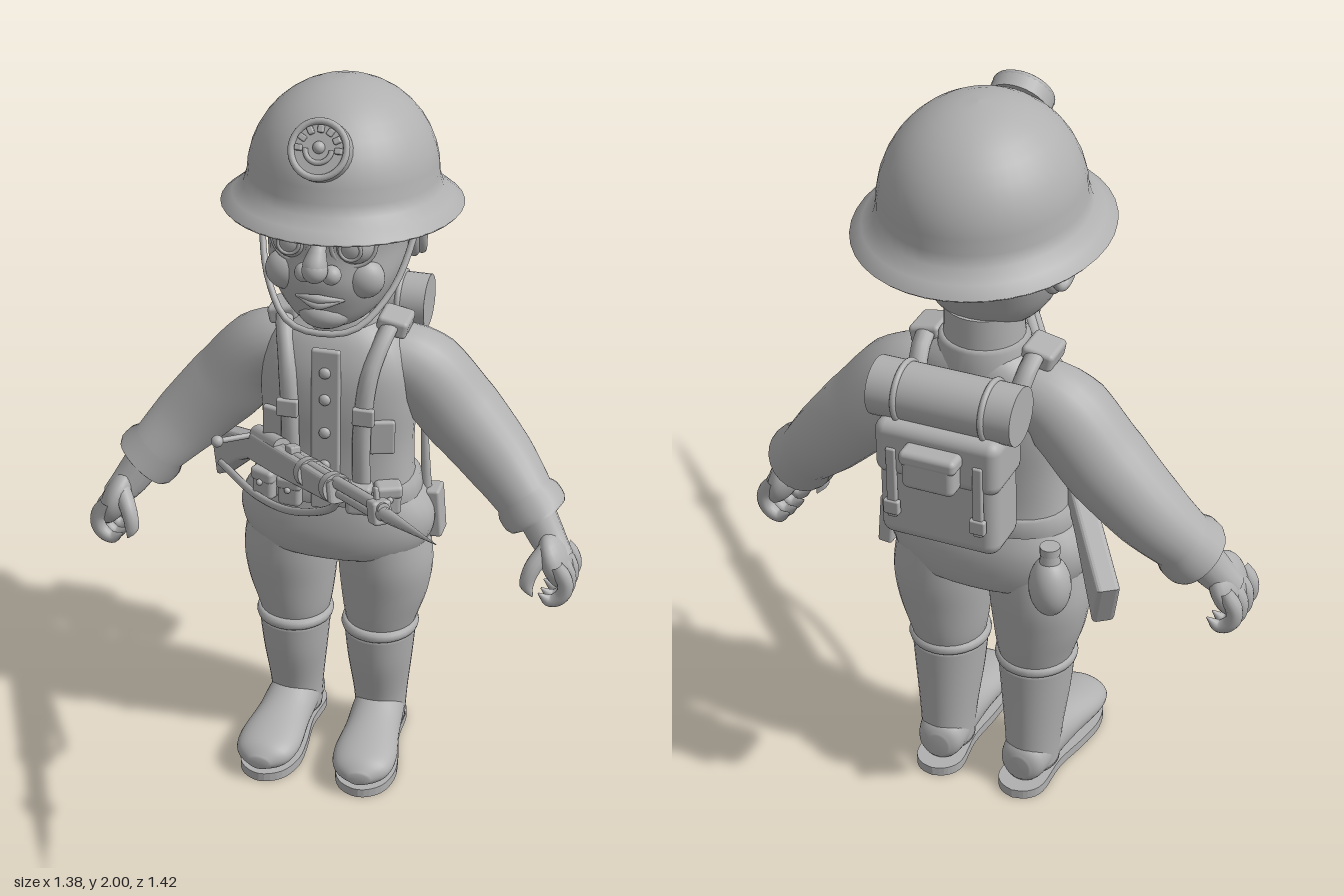
import * as THREE from 'three';
import { RoundedBoxGeometry } from 'three/addons/geometries/RoundedBoxGeometry.js';

const clay = new THREE.MeshStandardMaterial({ color: 0xb0b0b0 });
clay.name = 'plain grey';

const V = (p) => new THREE.Vector3(...p);

function add(parent, name, geo, pos = [0, 0, 0], rot = [0, 0, 0], scale = [1, 1, 1]) {
  const m = new THREE.Mesh(geo, clay);
  m.name = name;
  m.position.set(...pos);
  m.rotation.set(...rot);
  m.scale.set(...scale);
  parent.add(m);
  return m;
}

// Closed body through rounded sections [y, centreX, centreZ, radiusX, radiusZ]
function loft(rings, power = 2, n = 32) {
  const pos = [], idx = [];
  const curve = (c) => Math.sign(c) * Math.pow(Math.abs(c), 2 / power);
  for (const [y, cx, cz, rx, rz] of rings)
    for (let i = 0; i < n; i++) {
      const a = (i / n) * Math.PI * 2;
      pos.push(cx + rx * curve(Math.cos(a)), y, cz + rz * curve(Math.sin(a)));
    }
  const last = rings.length - 1, c0 = rings.length * n;
  for (const r of [rings[0], rings[last]]) pos.push(r[1], r[0], r[2]);
  for (let i = 0; i < n; i++) {
    const j = (i + 1) % n;
    for (let k = 0; k < last; k++) {
      const b = k * n, t = b + n;
      idx.push(b + i, t + i, b + j, b + j, t + i, t + j);
    }
    idx.push(c0, i, j, c0 + 1, last * n + j, last * n + i);
  }
  const g = new THREE.BufferGeometry();
  g.setAttribute('position', new THREE.Float32BufferAttribute(pos, 3));
  g.setIndex(idx);
  g.computeVertexNormals();
  return g;
}

// Smooth rings interpolated through a few key sections
function smoothRings(keys, steps = 5) {
  const out = [], n = (keys.length - 1) * steps;
  for (let i = 0; i <= n; i++) {
    const k = Math.min(Math.floor(i / steps), keys.length - 2), t = i / steps - k;
    const at = (j) => keys[Math.max(0, Math.min(keys.length - 1, j))];
    out.push(keys[k].map((_, c) => {
      const [a, b, d, e] = [at(k - 1)[c], at(k)[c], at(k + 1)[c], at(k + 2)[c]];
      return b + 0.5 * t * (d - a + t * (2 * a - 5 * b + 4 * d - e + t * (3 * (b - d) + e - a)));
    }));
  }
  return out;
}

// Tube with radii spread evenly along it; widen flattens it into a band across x
function tube(points, radii, sides = 12, widen = 1) {
  const curve = new THREE.CatmullRomCurve3(points.map(V));
  const seg = 28, g = new THREE.TubeGeometry(curve, seg, 1, sides);
  const p = g.attributes.position, nrm = g.attributes.normal;
  for (let i = 0; i <= seg; i++) {
    const c = curve.getPointAt(i / seg), f = (i / seg) * (radii.length - 1);
    const k = Math.min(Math.floor(f), radii.length - 2);
    const r = radii.length < 2 ? radii[0] : THREE.MathUtils.lerp(radii[k], radii[k + 1], f - k);
    for (let j = 0; j <= sides; j++) {
      const v = i * (sides + 1) + j;
      p.setXYZ(v, c.x + nrm.getX(v) * r * widen, c.y + nrm.getY(v) * r, c.z + nrm.getZ(v) * r);
    }
  }
  return g;
}

const box = (x, y, z, r = 0.01) => new RoundedBoxGeometry(x, y, z, 3, r);
const ball = (r) => new THREE.SphereGeometry(r, 24, 16);
const rod = (r1, r2, h, n = 20) => new THREE.CylinderGeometry(r1, r2, h, n);
const ring = (R, r, arc = Math.PI * 2) => new THREE.TorusGeometry(R, r, 10, 32, arc);

function helmet(root) {
  const g = new THREE.Group();
  g.name = 'helmet';
  g.position.set(0, 1.667, -0.35);
  g.rotation.x = -0.07;
  root.add(g);
  const pts = [];
  for (let i = 0; i <= 10; i++) pts.push([0.235 * Math.sin(i * Math.PI / 20), 0.08 + 0.235 * Math.cos(i * Math.PI / 20)]);
  pts.push([0.26, 0.035], [0.312, -0.006], [0.319, 0.002], [0.29, 0.025], [0.262, 0.05]);
  for (let i = 10; i >= 0; i--) pts.push([0.252 * Math.sin(i * Math.PI / 20), 0.08 + 0.254 * Math.cos(i * Math.PI / 20)]);
  add(g, 'helmetShell', new THREE.LatheGeometry(pts.map(([x, y]) => new THREE.Vector2(x, y)), 40), [0, 0, 0], [0, 0, 0], [1, 1, 1.09]);
  // Round badge with a plain wreath
  const b = new THREE.Group();
  b.name = 'helmetBadge';
  b.position.set(0, 1.9, -0.115);
  b.rotation.x = -0.51;
  root.add(b);
  add(b, 'badgeDisc', rod(0.08, 0.08, 0.04, 28), [0, 0, -0.01], [Math.PI / 2, 0, 0]);
  add(b, 'badgeRim', ring(0.072, 0.009), [0, 0, 0.01]);
  add(b, 'badgeArc', ring(0.034, 0.007, Math.PI), [0, 0, 0.014], [0, 0, Math.PI]);
  add(b, 'badgeBoss', ball(0.016), [0, 0.005, 0.012]);
  for (let i = 0; i < 7; i++) {
    const a = i * Math.PI / 6;
    add(b, 'badgeRay', box(0.02, 0.016, 0.02, 0.004), [0.052 * Math.cos(a), 0.052 * Math.sin(a), 0.012], [0, 0, a]);
  }
}

function head(root) {
  add(root, 'head', loft(smoothRings([
    [1.375, 0, -0.25, 0.05, 0.07], [1.4, 0, -0.265, 0.1, 0.12], [1.45, 0, -0.285, 0.145, 0.16], [1.52, 0, -0.3, 0.175, 0.19],
    [1.6, 0, -0.325, 0.187, 0.207], [1.7, 0, -0.335, 0.2, 0.215], [1.8, 0, -0.34, 0.17, 0.18]]), 2.2));
  add(root, 'neck', rod(0.1, 0.105, 0.16, 28), [0, 1.37, -0.355]);
  add(root, 'collar', loft([[1.28, 0, -0.355, 0.115, 0.11], [1.29, 0, -0.355, 0.122, 0.118],
    [1.36, 0, -0.355, 0.116, 0.113], [1.37, 0, -0.355, 0.105, 0.102]]));
  add(root, 'nose', tube([[0, 1.655, -0.13], [0, 1.62, -0.088], [0, 1.59, -0.068], [0, 1.57, -0.085]], [0.018, 0.022, 0.034, 0.02]));
  add(root, 'noseTip', ball(0.034), [0, 1.588, -0.069]);
  add(root, 'chin', ball(0.06), [0, 1.425, -0.175], [0, 0, 0], [1.2, 0.75, 1]);
  for (const y of [1.493, 1.475])
    add(root, 'lip', tube([[-0.065, 1.485, -0.125], [0, y, -0.1], [0.065, 1.485, -0.125]], [0.003, 0.012, 0.003]));
  for (const s of [1, -1]) {
    add(root, 'nostril', ball(0.026), [s * 0.036, 1.565, -0.1]);
    add(root, 'eyeball', ball(0.055), [s * 0.082, 1.635, -0.16]);
    add(root, 'iris', ring(0.028, 0.005), [s * 0.082, 1.635, -0.112]);
    add(root, 'eyeRim', ring(0.056, 0.008), [s * 0.083, 1.635, -0.142], [0, s * 0.3, 0]);
    add(root, 'eyebrow', tube([[s * 0.025, 1.68, -0.115], [s * 0.085, 1.705, -0.125], [s * 0.15, 1.685, -0.175]], [0.008, 0.016, 0.006]));
    add(root, 'cheek', ball(0.055), [s * 0.105, 1.535, -0.17], [0, 0, 0], [1, 1, 0.8]);
    add(root, 'ear', ball(0.08), [s * 0.19, 1.605, -0.36], [0.1, s * 0.3, 0], [0.34, 1.05, 0.62]);
    add(root, 'earRim', ring(0.055, 0.012), [s * 0.212, 1.61, -0.365], [0, Math.PI / 2 + s * 0.3, 0], [0.7, 1.15, 1]);
  }
  add(root, 'chinStrap', tube([[0.212, 1.69, -0.345], [0.2, 1.58, -0.28], [0.165, 1.48, -0.21], [0.09, 1.4, -0.135], [0, 1.385, -0.118],
    [-0.09, 1.4, -0.135], [-0.165, 1.48, -0.21], [-0.2, 1.58, -0.28], [-0.212, 1.69, -0.345]], [0.009]));
}

function jacket(root) {
  add(root, 'jacketBody', loft(smoothRings([
    [0.8, 0, -0.32, 0.225, 0.14], [0.9, 0, -0.32, 0.212, 0.135], [1.0, 0, -0.325, 0.208, 0.137], [1.12, 0, -0.33, 0.215, 0.145],
    [1.22, 0, -0.335, 0.21, 0.14], [1.3, 0, -0.345, 0.17, 0.12], [1.35, 0, -0.355, 0.1, 0.09]]), 2.5));
  add(root, 'jacketSkirt', loft(smoothRings([
    [0.65, 0, -0.325, 0.17, 0.11], [0.662, 0, -0.325, 0.235, 0.143], [0.72, 0, -0.325, 0.27, 0.157],
    [0.79, 0, -0.325, 0.268, 0.155], [0.87, 0, -0.32, 0.215, 0.138]]), 2.3));
  add(root, 'belt', loft([[0.835, 0, -0.32, 0.228, 0.143], [0.838, 0, -0.32, 0.237, 0.152],
    [0.882, 0, -0.32, 0.23, 0.15], [0.885, 0, -0.32, 0.22, 0.14]], 2.4));
  add(root, 'beltBuckle', box(0.07, 0.055, 0.02, 0.006), [0, 0.86, -0.168]);
  add(root, 'frontPlacket', box(0.08, 0.43, 0.02, 0.008), [0, 1.09, -0.186]);
  for (const y of [1.24, 1.16, 1.06, 0.96]) add(root, 'button', ball(0.016), [0, y, -0.172], [0, 0, 0], [1, 1, 0.7]);
  for (const s of [1, -1]) {
    add(root, 'shoulderStrap', tube([[s * 0.1, 0.88, -0.188], [s * 0.1, 1.08, -0.185], [s * 0.115, 1.24, -0.21],
      [s * 0.145, 1.34, -0.3], [s * 0.145, 1.335, -0.41], [s * 0.13, 1.22, -0.49], [s * 0.13, 1.1, -0.5]], [0.011], 12, 2.3));
    add(root, 'strapLoop', box(0.085, 0.05, 0.1, 0.012), [s * 0.15, 1.335, -0.34], [0, 0, -s * 0.2]);
    add(root, 'strapBuckle', box(0.06, 0.05, 0.02, 0.005), [s * 0.105, 1.12, -0.178]);
    add(root, 'chestPocket', box(0.07, 0.1, 0.02, 0.008), [s * 0.15, 1.05, -0.209], [0, s * 0.3, 0]);
    // Ammunition pouches on the belt
    [[0.095, -0.178, 0.1], [0.172, -0.2, 0.4]].forEach(([x, z, a]) => {
      add(root, 'pouch', box(0.068, 0.085, 0.05, 0.014), [s * x, 0.868, z], [0, s * a, 0]);
      add(root, 'pouchFlap', box(0.074, 0.038, 0.058, 0.012), [s * x, 0.897, z], [0, s * a, 0]);
      add(root, 'pouchStud', ball(0.009), [s * (x + a * 0.03), 0.88, z + 0.029]);
    });
  }
}

function arm(root, s) {
  const P = (list) => list.map(([x, y, z]) => [s * x, y, z]);
  add(root, 'sleeve', tube(P([[0.08, 1.23, -0.355], [0.2, 1.205, -0.365], [0.33, 1.07, -0.37], [0.45, 0.94, -0.355], [0.55, 0.83, -0.315]]),
    [0.08, 0.113, 0.113, 0.1, 0.078], 24));
  add(root, 'cuff', tube(P([[0.512, 0.873, -0.334], [0.545, 0.835, -0.32], [0.58, 0.796, -0.304]]),
    [0.06, 0.086, 0.094, 0.095, 0.094, 0.084, 0.03], 24));
  add(root, 'wrist', tube(P([[0.56, 0.82, -0.31], [0.6, 0.76, -0.29], [0.64, 0.71, -0.27]]), [0.055, 0.05, 0.04]));
  add(root, 'palm', ball(1), [s * 0.63, 0.715, -0.265], [0, 0, s * 0.4], [0.04, 0.085, 0.083]);
  for (let k = 0; k < 4; k++) {
    const z = -0.2 - 0.042 * k, d = Math.abs(k - 1.3) * 0.008;
    add(root, 'finger', tube(P([[0.64, 0.73, z], [0.668, 0.68, z], [0.662, 0.63 + d, z], [0.63, 0.607 + d, z], [0.595, 0.625 + d, z]]),
      [0.018, 0.023, 0.022, 0.021, 0.02, 0.016, 0.002]));
  }
  add(root, 'thumb', tube(P([[0.61, 0.76, -0.24], [0.575, 0.71, -0.2], [0.565, 0.665, -0.19], [0.58, 0.625, -0.195]]), [0.025, 0.025, 0.023, 0.02, 0.002]));
}

function leg(root, s) {
  add(root, 'trouserLeg', loft(smoothRings([
    [0.38, s * 0.125, -0.33, 0.09, 0.095], [0.43, s * 0.127, -0.33, 0.105, 0.107], [0.52, s * 0.135, -0.33, 0.125, 0.12],
    [0.62, s * 0.136, -0.33, 0.134, 0.132], [0.75, s * 0.125, -0.33, 0.125, 0.13]])));
  add(root, 'bootShaft', loft(smoothRings([
    [0.05, s * 0.125, -0.35, 0.07, 0.08], [0.15, s * 0.125, -0.345, 0.077, 0.084], [0.28, s * 0.125, -0.33, 0.092, 0.1],
    [0.385, s * 0.125, -0.325, 0.102, 0.107]])));
  add(root, 'bootRim', ring(0.096, 0.014), [s * 0.125, 0.395, -0.325], [Math.PI / 2, 0, 0], [1, 1.05, 1.2]);
  const foot = new THREE.Group();
  foot.name = 'bootFoot';
  foot.position.set(s * 0.125, 0, -0.35);
  foot.rotation.y = s * 0.06;
  root.add(foot);
  add(foot, 'bootUpper', loft(smoothRings([
    [-0.09, 0, -0.07, 0.03, 0.035], [-0.065, 0, -0.08, 0.062, 0.06], [0.03, 0, -0.095, 0.073, 0.075], [0.13, 0, -0.083, 0.078, 0.06],
    [0.24, 0, -0.073, 0.09, 0.05], [0.31, 0, -0.067, 0.076, 0.04], [0.347, 0, -0.06, 0.03, 0.018]])).rotateX(Math.PI / 2));
  const side = [[0.04, -0.115], [0.065, -0.07], [0.062, 0.04], [0.08, 0.15], [0.086, 0.24], [0.06, 0.315]];
  const outline = [[0, -0.13], ...side, [0, 0.347], ...side.map(([x, y]) => [-x, y]).reverse()];
  const shape = new THREE.Shape(new THREE.SplineCurve([...outline, outline[0]].map(([x, z]) => new THREE.Vector2(x, -z))).getPoints(56));
  add(foot, 'sole', new THREE.ExtrudeGeometry(shape, { depth: 0.026, bevelEnabled: false }).rotateX(-Math.PI / 2));
}

function backpack(root) {
  add(root, 'packBody', box(0.32, 0.33, 0.15, 0.035), [0, 1.075, -0.582]);
  add(root, 'packFlap', box(0.332, 0.15, 0.166, 0.03), [0, 1.17, -0.582]);
  add(root, 'packPocket', box(0.14, 0.105, 0.06, 0.018), [0, 1.155, -0.682]);
  add(root, 'pocketFlap', box(0.15, 0.04, 0.064, 0.014), [0, 1.188, -0.682]);
  add(root, 'bedroll', rod(0.075, 0.075, 0.38, 28), [0, 1.29, -0.572], [0, 0, Math.PI / 2]);
  for (const s of [1, -1]) {
    add(root, 'bedrollBand', ring(0.075, 0.008), [s * 0.115, 1.29, -0.572], [0, Math.PI / 2, 0]);
    add(root, 'packStrap', box(0.026, 0.2, 0.016, 0.005), [s * 0.115, 1.08, -0.664]);
    add(root, 'packBuckle', box(0.042, 0.04, 0.018, 0.005), [s * 0.115, 1.01, -0.668]);
  }
  // Canteen at the back, sheath at the other hip
  add(root, 'canteen', ball(1), [-0.225, 0.735, -0.475], [0, 0.5, 0], [0.055, 0.085, 0.062]);
  add(root, 'canteenNeck', rod(0.022, 0.028, 0.05), [-0.225, 0.825, -0.475]);
  add(root, 'canteenCap', rod(0.026, 0.026, 0.022), [-0.225, 0.845, -0.475]);
  add(root, 'sheath', box(0.04, 0.145, 0.07, 0.008), [0.268, 0.755, -0.37], [0, 0, 0.08]);
  add(root, 'sheathHandle', rod(0.01, 0.016, 0.2, 12), [0.235, 0.91, -0.37], [0, 0, 0.05]);
}

function rifle(root) {
  const g = new THREE.Group();
  g.name = 'rifle';
  g.position.set(0, 1.055, 0.016);
  g.lookAt(0.566, 1.338, 0.791);
  root.add(g);
  const along = [Math.PI / 2, 0, 0];
  const stock = new THREE.Shape([[-0.73, -0.03], [-0.72, -0.15], [-0.52, -0.07], [-0.42, -0.045], [-0.2, -0.045],
    [0.24, -0.03], [0.24, 0.012], [-0.36, 0.02], [-0.44, 0]].map(([x, y]) => new THREE.Vector2(x, y)));
  add(g, 'stock', new THREE.ExtrudeGeometry(stock, { depth: 0.036, bevelSize: 0.01, bevelThickness: 0.012, bevelSegments: 3 })
    .translate(0, 0, -0.018).rotateY(-Math.PI / 2));
  add(g, 'barrel', rod(0.016, 0.018, 0.9), [0, 0.012, 0.115], along);
  add(g, 'cleaningRod', rod(0.012, 0.012, 0.32), [0, -0.016, 0.39], along);
  add(g, 'receiver', rod(0.026, 0.026, 0.2), [0, 0.02, -0.28], along);
  for (const z of [0.22, 0.03]) add(g, 'barrelBand', rod(0.04, 0.04, 0.035), [0, -0.006, z], along);
  add(g, 'muzzleFitting', box(0.05, 0.06, 0.05, 0.008), [0, 0, 0.53]);
  add(g, 'frontSight', box(0.012, 0.04, 0.02, 0.004), [0, 0.04, 0.52]);
  add(g, 'rearSight', box(0.03, 0.02, 0.05, 0.004), [0, 0.035, -0.09]);
  add(g, 'bayonet', rod(0.001, 0.018, 0.31, 10), [0, 0, 0.735], along);
  add(g, 'bayonetSocket', rod(0.014, 0.02, 0.05), [0, 0, 0.575], along);
  add(g, 'boltHandle', rod(0.008, 0.008, 0.11), [-0.06, 0.02, -0.38], [0, 0, Math.PI / 2]);
  add(g, 'boltKnob', ball(0.017), [-0.12, 0.02, -0.38]);
  add(g, 'triggerGuard', ring(0.028, 0.006), [0, -0.055, -0.35], [0, Math.PI / 2, 0]);
  add(root, 'rifleSling', tube([[0.13, 1.09, 0.17], [0.1, 1.01, 0.12], [-0.03, 0.915, 0.01], [-0.18, 0.84, -0.16], [-0.38, 0.76, -0.45]], [0.011]));
}

export function createModel() {
  const root = new THREE.Group();
  root.name = 'soldierFigure';
  helmet(root);
  head(root);
  jacket(root);
  for (const s of [1, -1]) {
    arm(root, s);
    leg(root, s);
  }
  backpack(root);
  rifle(root);
  return root;
}
